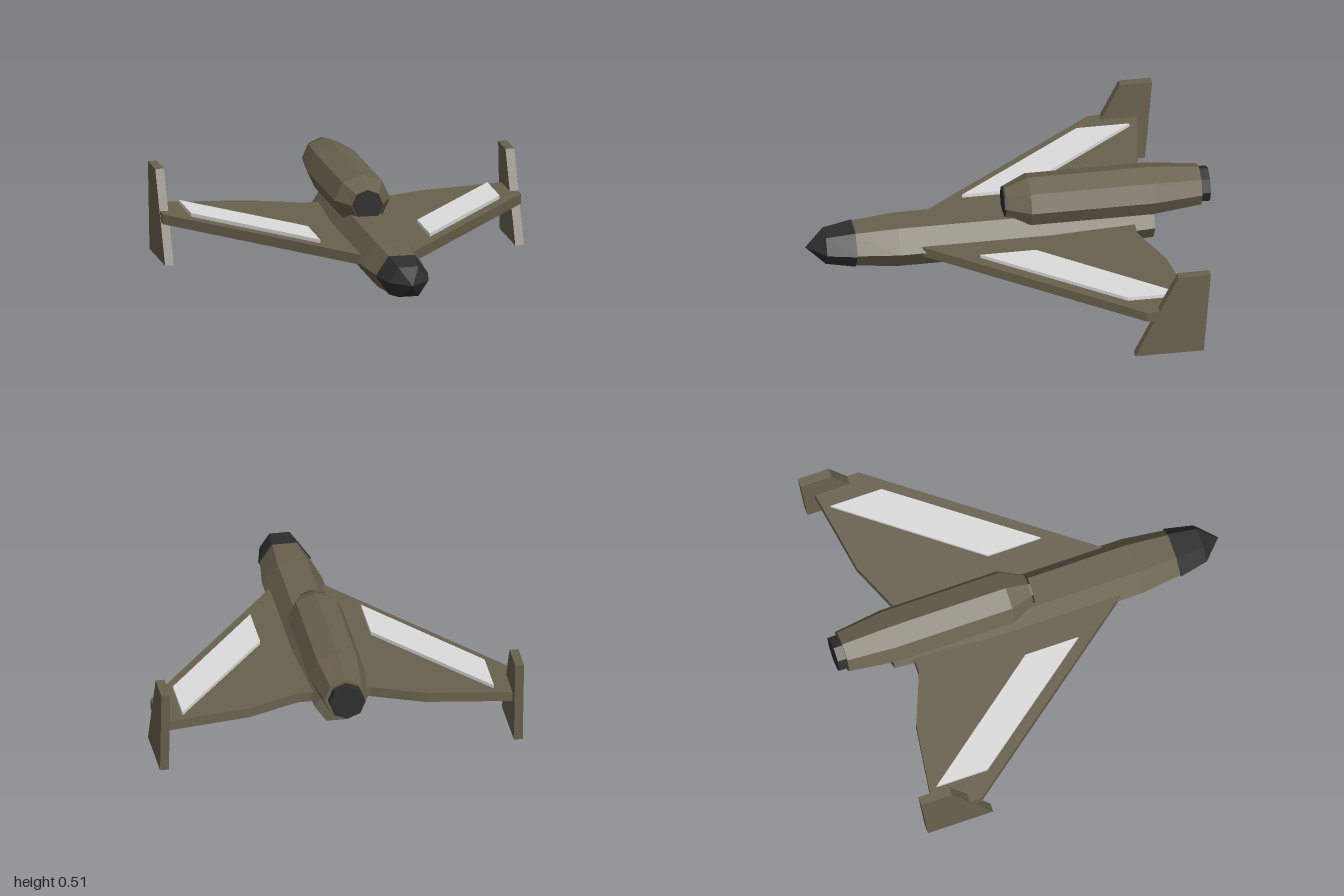
import * as THREE from 'three';

const makeMaterial = (name, color) => {
  const m = new THREE.MeshStandardMaterial({ color, flatShading: true });
  m.name = name;
  return m;
};

// Faceted body along z; sections run front to back as [z, radiusX, radiusY]
function loft(sides, centreY, sections) {
  const pos = [];
  const point = ([z, rx, ry], j) => {
    const a = ((j % sides) / sides) * Math.PI * 2;
    return [Math.cos(a) * rx, centreY + Math.sin(a) * ry, z];
  };
  const first = sections[0];
  const last = sections[sections.length - 1];
  for (let j = 0; j < sides; j++) {
    for (let i = 0; i < sections.length - 1; i++) {
      const a = point(sections[i], j), b = point(sections[i], j + 1);
      const c = point(sections[i + 1], j), d = point(sections[i + 1], j + 1);
      if (sections[i][1] > 0) pos.push(...a, ...c, ...b);
      pos.push(...b, ...c, ...d);
    }
    if (first[1] > 0) pos.push(0, centreY, first[0], ...point(first, j), ...point(first, j + 1));
    pos.push(0, centreY, last[0], ...point(last, j + 1), ...point(last, j));
  }
  const g = new THREE.BufferGeometry();
  g.setAttribute('position', new THREE.Float32BufferAttribute(pos, 3));
  g.computeVertexNormals();
  return g;
}

// Extruded polygon
function prism(points, depth) {
  const shape = new THREE.Shape(points.map(([x, y]) => new THREE.Vector2(x, y)));
  return new THREE.ExtrudeGeometry(shape, { depth, bevelEnabled: false });
}

// Horizontal slab from [x, z] corners
const slab = (corners, y0, y1) =>
  prism(corners.map(([x, z]) => [x, -z]), y1 - y0).rotateX(-Math.PI / 2).translate(0, y0, 0);

// Upright plate from [z, y] corners
const plate = (corners, x0, x1) =>
  prism(corners.map(([z, y]) => [-z, y]), x1 - x0).rotateY(Math.PI / 2).translate(x0, 0, 0);

export function createModel() {
  const olive = makeMaterial('olive body', 0x6a614e);
  const dark = makeMaterial('dark metal', 0x2e2e2f);
  const pale = makeMaterial('pale panel', 0xdcdcdc);

  const model = new THREE.Group();
  model.name = 'aircraft';
  const add = (name, geometry, material) => {
    const mesh = new THREE.Mesh(geometry, material);
    mesh.name = name;
    model.add(mesh);
  };

  // Six-sided fuselage and nose
  add('fuselage', loft(6, 0.218, [
    [0.77, 0.122, 0.106], [0.55, 0.15, 0.125], [-0.2, 0.15, 0.125], [-0.72, 0.112, 0.097],
  ]), olive);
  add('nose', loft(6, 0.218, [
    [1, 0, 0], [0.905, 0.1, 0.086], [0.76, 0.132, 0.111],
  ]), dark);

  // Eight-sided engine on the back
  add('engine', loft(8, 0.382, [
    [0.012, 0.08, 0.077], [-0.105, 0.14, 0.125], [-0.71, 0.14, 0.125], [-0.955, 0.108, 0.1],
  ]), olive);
  add('intake', loft(8, 0.382, [[0.02, 0.077, 0.075], [0, 0.077, 0.075]]), dark);
  add('exhaust', loft(8, 0.382, [[-0.94, 0.09, 0.088], [-1, 0.09, 0.088]]), dark);

  // Wing outline, mirrored about the centre line
  const half = [[0.9, -0.55], [0.9, -0.795], [0.86, -0.79], [0.435, -0.725], [0.18, -0.62]];
  const mirrored = half.map(([x, z]) => [-x, z]).reverse();
  add('wing', slab([[0, 0.615], ...half, ...mirrored], 0.195, 0.245), olive);

  // Wing panels and tip fins
  const panel = [[0.275, 0.175], [0.275, -0.1], [0.775, -0.74], [0.775, -0.475]];
  const fin = [[-0.49, 0], [-0.83, 0], [-0.865, 0.435], [-0.705, 0.435]];
  for (const [side, s] of [['left', 1], ['right', -1]]) {
    add(side + 'WingPanel', slab(panel.map(([x, z]) => [s * x, z]), 0.245, 0.263), pale);
    add(side + 'Fin', s > 0 ? plate(fin, 0.858, 0.902) : plate(fin, -0.902, -0.858), olive);
  }
  return model;
}
